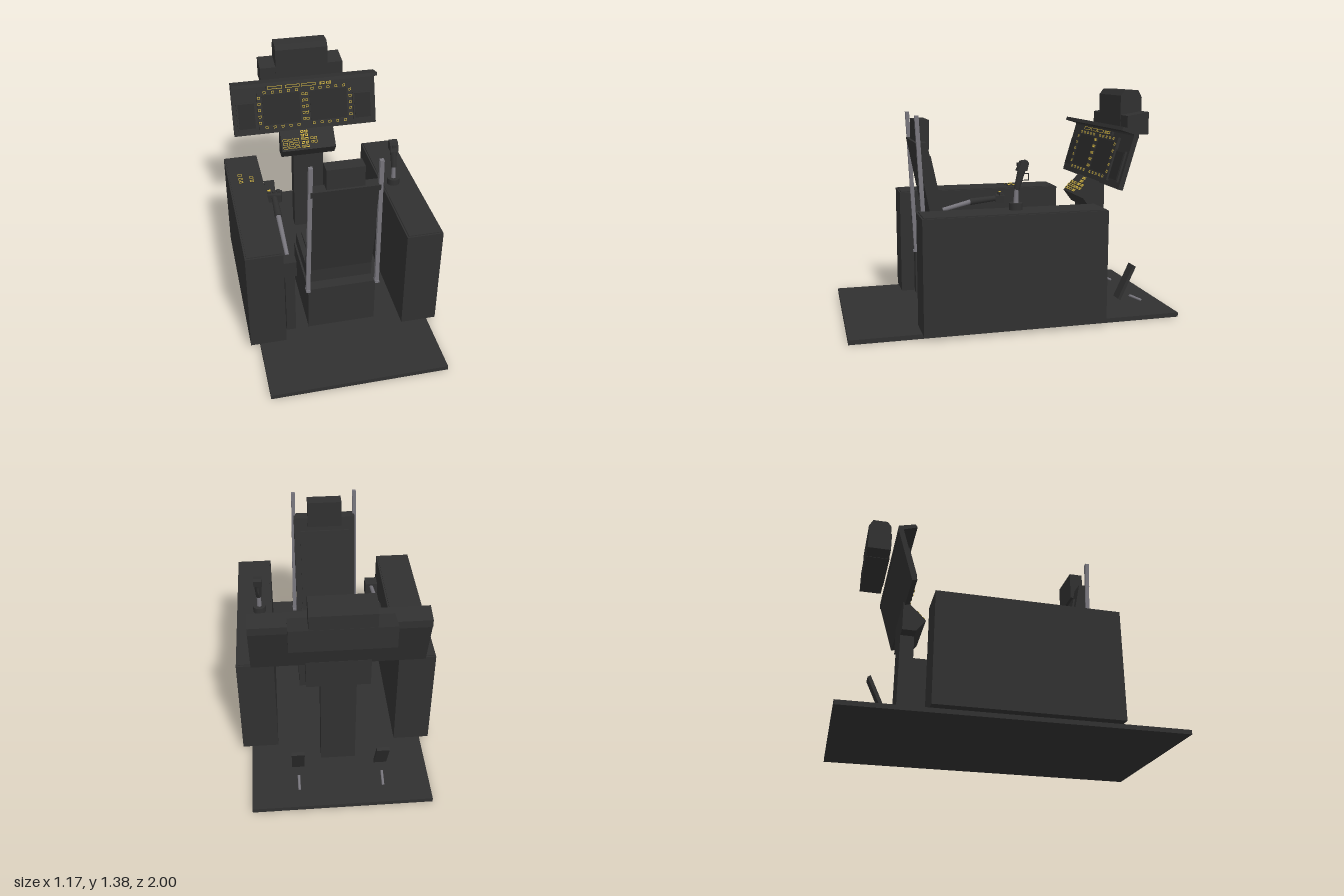
import * as THREE from 'three';

export function createModel() {
  const root = new THREE.Group();
  root.name = 'cockpitTrainer';
  const mat = (name, color) => {
    const m = new THREE.MeshStandardMaterial({ color });
    m.name = name;
    return m;
  };
  const dark = mat('charcoal', 0x303030);
  const screen = mat('screenBlack', 0x2a2a2a);
  const metal = mat('metalGrey', 0x77757c);
  const yellow = mat('markingYellow', 0xd2b440);

  const add = (parent, name, geo, material) => {
    const m = new THREE.Mesh(geo, material);
    m.name = name;
    parent.add(m);
    return m;
  };
  // Box given by its limits on each axis
  const box = (name, x0, x1, y0, y1, z0, z1, material = dark, parent = root) => {
    const m = add(parent, name, new THREE.BoxGeometry(x1 - x0, y1 - y0, z1 - z0), material);
    m.position.set((x0 + x1) / 2, (y0 + y1) / 2, (z0 + z1) / 2);
    return m;
  };
  // Side profile of [z, y] points, extruded across x
  const prism = (name, pts, halfWidth, material = dark, x = 0) => {
    const shape = new THREE.Shape(pts.map(p => new THREE.Vector2(p[0], p[1])));
    const g = new THREE.ExtrudeGeometry(shape, { depth: halfWidth * 2, bevelEnabled: false });
    g.rotateY(-Math.PI / 2).translate(x + halfWidth, 0, 0);
    return add(root, name, g, material);
  };
  // Straight rod between two points; 4 sides gives a square bar
  const rod = (name, a, b, r0, r1, material, sides = 12) => {
    const A = new THREE.Vector3(...a), B = new THREE.Vector3(...b);
    const g = new THREE.CylinderGeometry(r1, r0, A.distanceTo(B), sides);
    if (sides === 4) g.rotateY(Math.PI / 4);
    const flat = sides === 4 ? g.toNonIndexed() : g;
    if (sides === 4) flat.computeVertexNormals();
    const m = add(root, name, flat, material);
    m.position.copy(A).add(B).multiplyScalar(0.5);
    m.quaternion.setFromUnitVectors(new THREE.Vector3(0, 1, 0), B.sub(A).normalize());
    return m;
  };
  // Dark key with a thin yellow outline, facing +z of its parent
  const key = (parent, x, y, z, w = 0.019, h = 0.017, t = 0.003) => {
    box('key', x - w / 2, x + w / 2, y - h / 2, y + h / 2, z, z + 0.007, dark, parent);
    const rect = (S, a, b) => new S([[-a, -b], [a, -b], [a, b], [-a, b]].map(p => new THREE.Vector2(...p)));
    const s = rect(THREE.Shape, w / 2, h / 2);
    s.holes.push(rect(THREE.Path, w / 2 - t, h / 2 - t));
    const g = new THREE.ExtrudeGeometry(s, { depth: 0.002, bevelEnabled: false });
    add(parent, 'keyOutline', g, yellow).position.set(x, y, z + 0.007);
  };
  const panel = (name, y, z, tilt) => {
    const g = new THREE.Group();
    g.name = name;
    g.position.set(0, y, z);
    g.rotation.x = tilt;
    root.add(g);
    return g;
  };

  // Floor and side consoles
  box('floor', -0.53, 0.53, 0, 0.027, -1, 1);
  for (const s of [-1, 1]) {
    const x = s * 0.477;
    box('sideConsole', x - 0.11, x + 0.11, 0.027, 0.698, -0.505, 0.585);
    box('consoleTop', x - 0.1, x + 0.1, 0.698, 0.704, -0.495, 0.575);
  }
  const sidePanel = panel('consoleKeys', 0.704, 0, -Math.PI / 2);
  for (const [x, z] of [[-0.51, -0.18], [-0.44, -0.18], [-0.51, -0.215], [-0.44, -0.22], [-0.51, -0.26]])
    key(sidePanel, x, -z, 0, 0.026, 0.022);

  // Seat base, cushion and backrest
  box('seatBase', -0.212, 0.208, 0.027, 0.33, 0.03, 0.5);
  box('seatPan', -0.2, 0.2, 0.33, 0.42, 0.035, 0.43);
  box('seatCushion', -0.168, 0.168, 0.42, 0.44, 0.06, 0.37);
  prism('backrest', [[0.36, 0.42], [0.43, 0.42], [0.56, 1.08], [0.49, 1.08]], 0.2);
  prism('backCushion', [[0.345, 0.44], [0.37, 0.44], [0.48, 0.995], [0.462, 0.995]], 0.16);
  box('headrest', -0.11, 0.11, 1.03, 1.207, 0.462, 0.545);
  box('pullHandle', -0.048, 0.045, 0.42, 0.438, 0.022, 0.036, yellow);
  for (const y of [0.426, 0.432]) box('pullHandleStripe', -0.049, 0.046, y, y + 0.002, 0.021, 0.037);
  for (const s of [-1, 1]) {
    rod('seatRail', [s * 0.214, 0.33, 0.505], [s * 0.198, 1.24, 0.55], 0.017, 0.017, metal, 4);
    box('railFoot', s * 0.214 - 0.013, s * 0.214 + 0.013, 0.33, 0.345, 0.485, 0.525, metal);
  }

  // Lever beside the seat
  box('leverPost', -0.35, -0.292, 0.027, 0.46, 0.44, 0.5);
  box('leverHousing', -0.36, -0.28, 0.465, 0.57, 0.43, 0.51);
  rod('leverRod', [-0.32, 0.54, 0.46], [-0.32, 0.63, 0.1], 0.012, 0.016, metal);
  rod('leverGrip', [-0.32, 0.625, 0.12], [-0.315, 0.645, -0.08], 0.023, 0.018, dark);
  const head = box('leverHead', -0.365, -0.265, 0.612, 0.665, -0.115, -0.055);
  head.rotation.y = -0.2;
  for (const x of [-0.345, -0.315, -0.285]) box('leverSwitch', x - 0.01, x + 0.01, 0.66, 0.68, -0.1, -0.075);
  box('leverSwitchMark', -0.355, -0.335, 0.68, 0.683, -0.1, -0.085, yellow);

  // Control stick on the side console
  const sx = 0.445;
  rod('stickBase', [sx, 0.7, 0.016], [sx, 0.744, 0.016], 0.04, 0.04, dark, 24);
  rod('stickShaft', [sx, 0.744, 0.016], [sx, 0.83, 0.012], 0.015, 0.012, metal);
  rod('stickGrip', [sx, 0.82, 0.012], [sx, 0.95, -0.022], 0.017, 0.024, dark);
  prism('stickHead', [[0.012, 0.93], [-0.045, 0.93], [-0.055, 0.975], [-0.045, 0.99], [-0.012, 0.985]], 0.026, dark, sx);
  box('stickThumbSwitch', sx - 0.012, sx + 0.012, 0.955, 0.975, -0.008, 0.008);
  const guard = add(root, 'triggerGuard', new THREE.TorusGeometry(0.028, 0.004, 6, 4), dark);
  guard.position.set(sx, 0.893, -0.04);
  guard.rotation.set(0, Math.PI / 2, 0);
  guard.rotateZ(Math.PI / 4);

  // Pedals with push rods
  for (const s of [-1, 1]) {
    const x = s * 0.25;
    prism('pedal', [[-0.705, 0.065], [-0.722, 0.055], [-0.822, 0.267], [-0.805, 0.278]], 0.038, dark, x);
    rod('pedalRod', [x, 0.07, -0.8], [x, 0.033, -0.88], 0.008, 0.008, metal, 8);
  }

  // Centre pedestal with its sloping key panel
  box('pedestalPost', -0.105, 0.105, 0.027, 0.64, -0.635, -0.55);
  prism('pedestalHead', [[-0.495, 0.705], [-0.55, 0.632], [-0.635, 0.632], [-0.635, 0.815], [-0.6, 0.81]], 0.187);
  const lower = panel('pedestalKeys', 0.758, -0.548, -Math.PI / 4);
  for (let r = 0; r < 5; r++) {
    const y = -0.052 + r * 0.026;
    if (r < 3) for (const x of [-0.16, -0.12, -0.08]) key(lower, x, y, 0, 0.034, 0.018);
    for (const x of [-0.036, -0.008]) key(lower, x, y, 0, 0.022, 0.018, 0.005);
    if (r > 0 && r < 3) for (const x of [0.028, 0.052]) key(lower, x, y, 0, 0.02, 0.018);
  }

  // Instrument board, tilted back
  const board = panel('instrumentBoard', 0.965, -0.645, -0.285);
  box('boardPlate', -0.495, 0.495, -0.168, 0.17, -0.03, 0, dark, board);
  box('displayBezel', -0.325, 0.325, -0.138, 0.132, 0, 0.018, dark, board);
  for (const s of [-1, 1]) {
    const c = s * 0.163;
    box('mainScreen', c - 0.128, c + 0.128, -0.105, 0.1, 0.018, 0.021, screen, board);
    for (let i = -2; i <= 2; i++) {
      for (const side of [-1, 1]) {
        key(board, c + side * 0.151, i * 0.043, 0.018);
        key(board, c + i * 0.055, side * 0.12 - 0.002, 0.018);
      }
    }
    const d = s * 0.402;
    box('sideDisplay', d - 0.066, d + 0.066, -0.13, 0.06, 0, 0.012, dark, board);
    box('sideScreen', d - 0.055, d + 0.055, -0.12, 0.05, 0.012, 0.015, screen, board);
  }
  // Row of wide keys above the displays
  box('upperKeyStrip', -0.26, 0.2, 0.134, 0.16, 0, 0.015, dark, board);
  for (const x of [-0.2, -0.08, 0.03]) key(board, x, 0.147, 0.015, 0.1, 0.02);
  for (const x of [0.125, 0.17]) key(board, x, 0.147, 0.015, 0.035, 0.018, 0.005);

  // Glare shield over the board
  prism('glareShield', [[-0.623, 1.173], [-0.612, 1.153], [-0.69, 1.128], [-0.69, 1.11],
    [-0.722, 1.102], [-0.722, 1.148]], 0.495);

  // Sight housing behind the board
  prism('sightHousing', [[-0.737, 1.105], [-0.878, 1.105], [-0.878, 1.33], [-0.853, 1.375],
    [-0.762, 1.375], [-0.737, 1.342]], 0.177);
  prism('sightWings', [[-0.74, 1.107], [-0.88, 1.107], [-0.88, 1.245], [-0.74, 1.222]], 0.283);
  return root;
}
